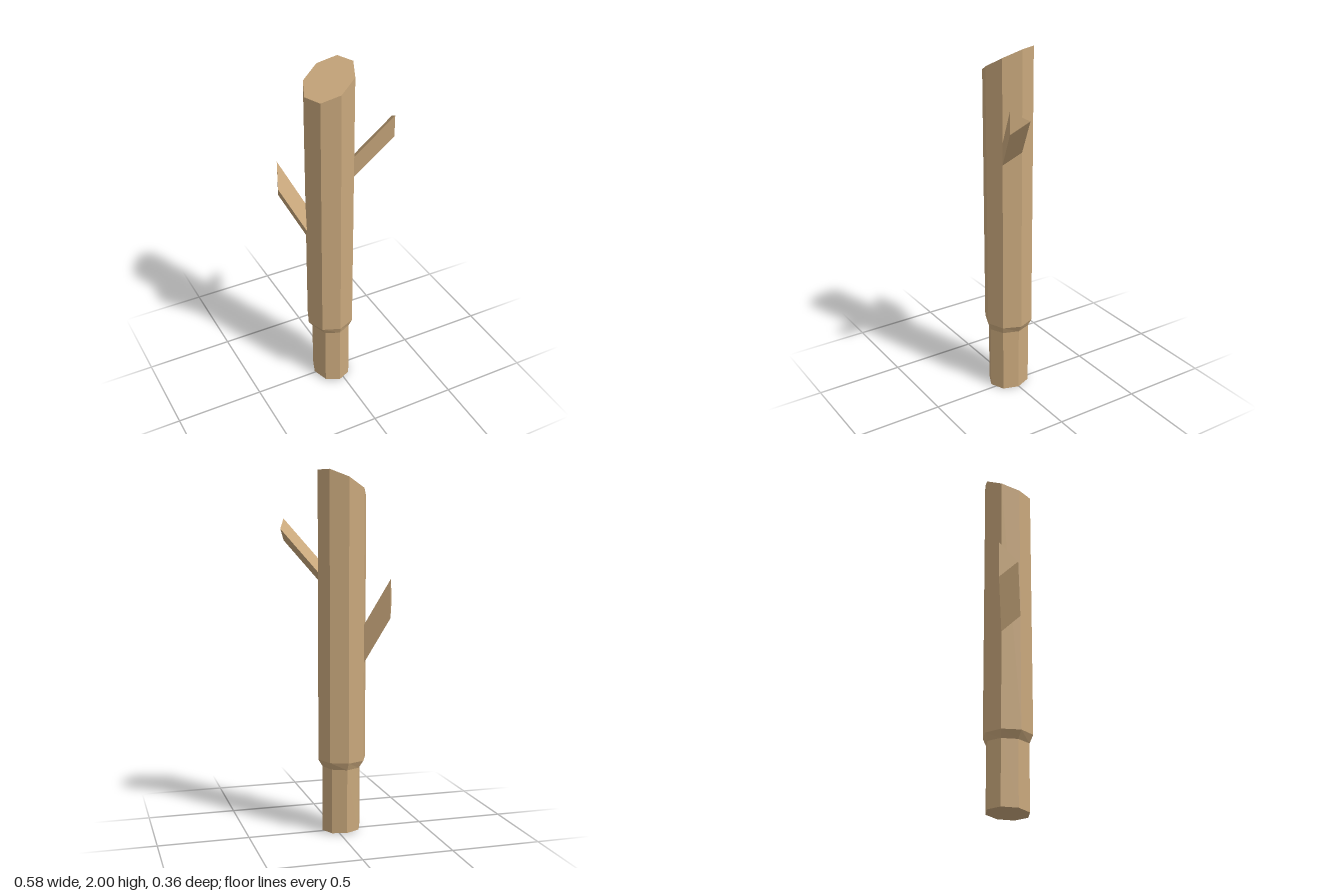
import * as THREE from 'three';

// Flat-shaded solid lofted through rings of [x, y, z] points, capped at both ends.
// Rings run clockwise when looking back from the last ring.
function loft(name, rings, material) {
  const pos = [];
  const tri = (a, b, c) => pos.push(...a, ...b, ...c);
  const n = rings[0].length;
  for (let r = 0; r < rings.length - 1; r++) {
    const lo = rings[r], up = rings[r + 1];
    for (let i = 0; i < n; i++) {
      const j = (i + 1) % n;
      tri(lo[i], up[i], up[j]);
      tri(lo[i], up[j], lo[j]);
    }
  }
  const first = rings[0], last = rings[rings.length - 1];
  for (let i = 1; i < n - 1; i++) {
    tri(first[0], first[i], first[i + 1]);
    tri(last[0], last[i + 1], last[i]);
  }
  const geo = new THREE.BufferGeometry();
  geo.setAttribute('position', new THREE.Float32BufferAttribute(pos, 3));
  geo.computeVertexNormals();
  const mesh = new THREE.Mesh(geo, material);
  mesh.name = name;
  return mesh;
}

// Octagonal ring; tilt leans its plane up towards the angle "towards".
function octagon(cx, cz, rx, rz, y, tilt = 0, towards = 0) {
  return Array.from({ length: 8 }, (_, i) => {
    const a = i * Math.PI / 4;
    return [cx + rx * Math.cos(a), y + tilt * Math.cos(a - towards), cz + rz * Math.sin(a)];
  });
}

// Three-sided branch: its base triangle is shifted along a direction to the tip.
function branch(name, base, dir, material) {
  const tip = base.map(p => p.map((v, k) => v + dir[k]));
  return loft(name, [base, tip], material);
}

export function createModel() {
  const group = new THREE.Group();
  group.name = 'woodenPost';
  const wood = new THREE.MeshStandardMaterial({ color: 0xc9a87c, flatShading: true });

  // Narrow foot, flared collar and trunk with a slanted cut on top
  group.add(loft('trunk', [
    octagon(-0.03, 0.004, 0.108, 0.121, 0.008, 0.008, -Math.PI * 0.75),
    octagon(-0.03, 0.004, 0.108, 0.121, 0.372),
    octagon(-0.034, 0.003, 0.136, 0.136, 0.413),
    octagon(-0.034, 0.003, 0.136, 0.136, 1.932, 0.074, -Math.PI / 8),
  ], wood));

  // Branch stubs growing from opposite facets
  group.add(branch('leftBranch',
    [[0.062, 1.51, 0.099], [0.102, 1.455, 0.003], [0.062, 1.39, 0.099]],
    [0.189, 0.232, 0.078], wood));
  group.add(branch('rightBranch',
    [[-0.13, 1.17, -0.093], [-0.17, 1.06, 0.003], [-0.13, 0.96, -0.093]],
    [-0.122, 0.252, -0.086], wood));

  return group;
}
